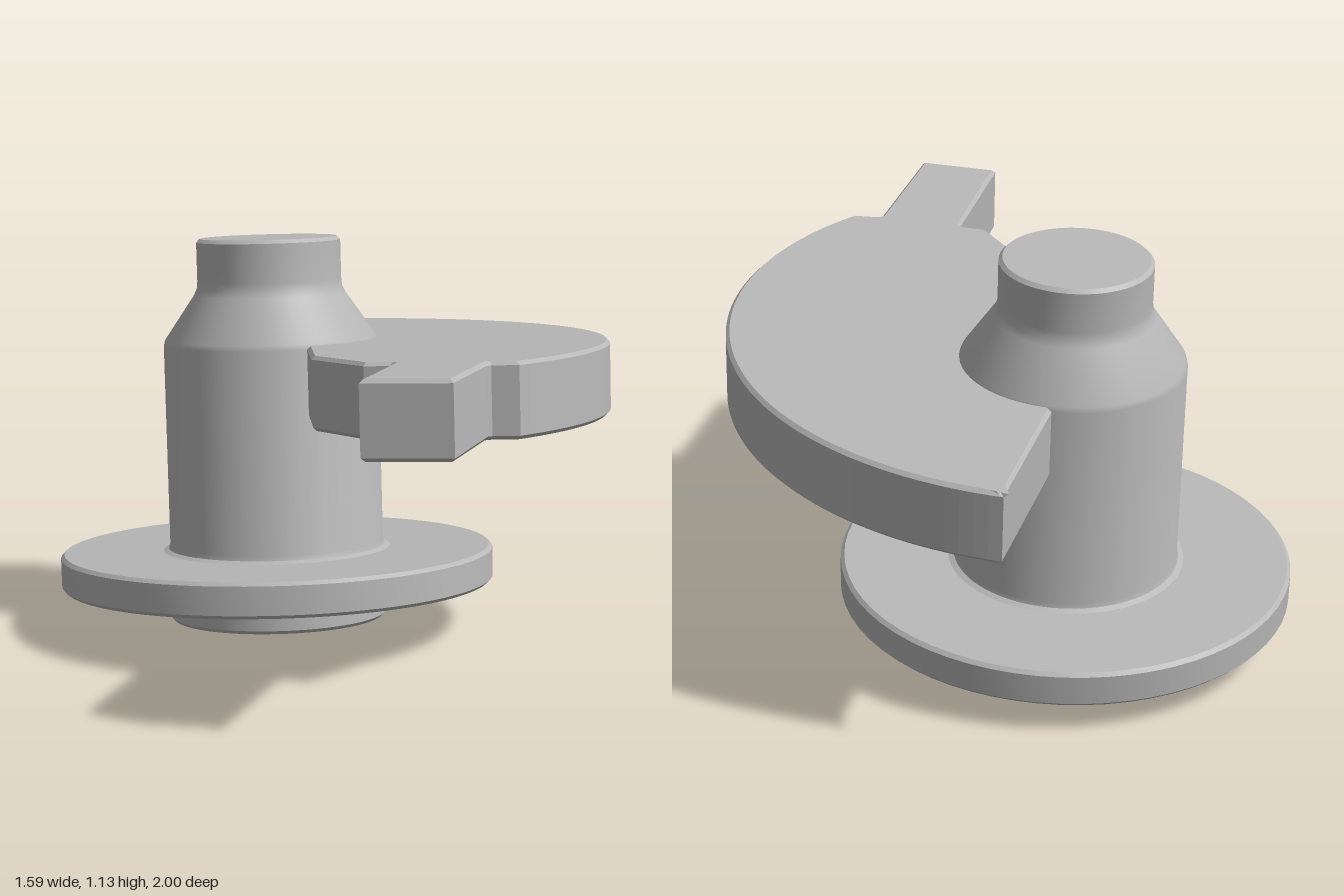
import * as THREE from 'three';
import { toCreasedNormals } from 'three/addons/utils/BufferGeometryUtils.js';

const grey = new THREE.MeshStandardMaterial({ color: 0xb8b8b8 });
grey.name = 'plain grey';

function addPart(parent, name, geometry) {
  const mesh = new THREE.Mesh(geometry, grey);
  mesh.name = name;
  parent.add(mesh);
}

// Turned solid from [radius, height] pairs, listed bottom to top
function turned(profile) {
  const points = profile.map(([r, y]) => new THREE.Vector2(r, y));
  return toCreasedNormals(new THREE.LatheGeometry(points, 64), 0.5);
}

// Flat cam with a curved back edge and a square tab
function camGeometry() {
  const shape = new THREE.Shape();
  shape.moveTo(0.1, -0.03);
  shape.lineTo(-0.01, -0.31);
  shape.lineTo(0.005, -0.775);
  shape.absarc(0, 0.212, 0.987, -Math.PI / 2 + 0.005, 0.58, false);
  const edge = [
    [0.755, 0.762], [0.745, 0.772], [0.735, 1.21], [0.505, 1.21],
    [0.505, 0.772], [0.495, 0.762], [0.425, 0.762], [0.245, 0.565], [0.165, 0.262],
  ];
  edge.forEach(([x, z]) => shape.lineTo(x, z));
  shape.closePath();
  const geometry = new THREE.ExtrudeGeometry(shape, {
    depth: 0.18, curveSegments: 28,
    bevelEnabled: true, bevelSegments: 1, bevelSize: 0.01, bevelThickness: 0.01, bevelOffset: -0.01,
  });
  // Lay it flat, with its top face at height 0.8
  return geometry.rotateX(Math.PI / 2).translate(0, 0.79, 0);
}

export function createModel() {
  const model = new THREE.Group();
  model.name = 'camShaft';

  // The whole shaft leans slightly back and to one side
  const shaft = new THREE.Group();
  shaft.name = 'tiltedShaft';
  shaft.position.set(-0.17, 0.028, -0.16);
  shaft.quaternion.setFromUnitVectors(
    new THREE.Vector3(0, 1, 0), new THREE.Vector3(-0.044, 1, -0.078).normalize());
  model.add(shaft);

  addPart(shaft, 'foot', turned([[0, 0], [0.3, 0], [0.31, 0.01], [0.31, 0.1]]));
  addPart(shaft, 'flange', turned([
    [0, 0.1], [0.61, 0.1], [0.62, 0.11], [0.62, 0.19], [0.61, 0.2], [0, 0.2]]));
  // Column with a conical shoulder and a narrow neck
  addPart(shaft, 'column', turned([
    [0.325, 0.2], [0.31, 0.207], [0.306, 0.22], [0.306, 0.79], [0.302, 0.805],
    [0.216, 0.93], [0.207, 0.95], [0.205, 0.97], [0.205, 1.08], [0.195, 1.09], [0, 1.09]]));
  addPart(shaft, 'cam', camGeometry());

  return model;
}
